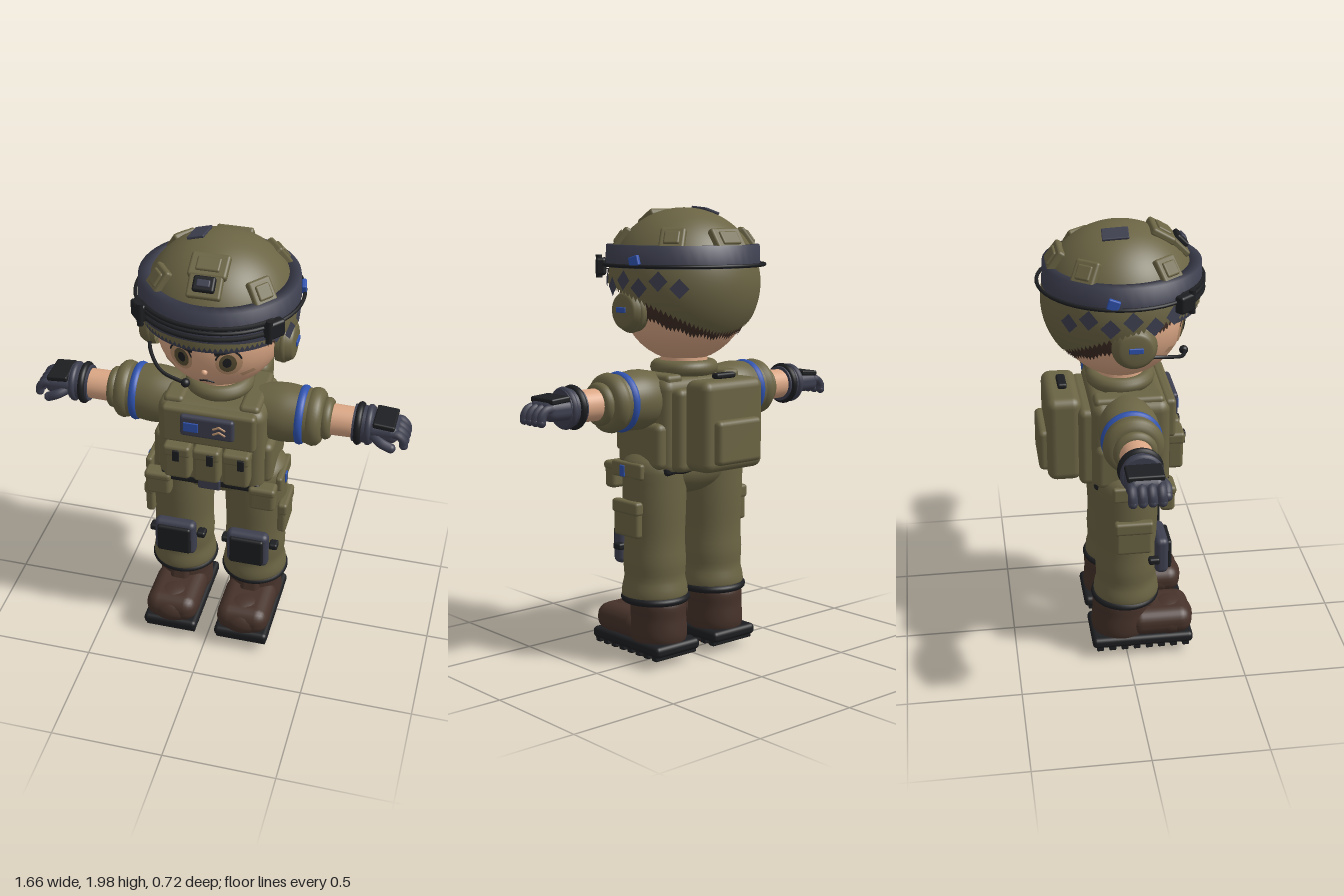
import * as THREE from 'three';
import { RoundedBoxGeometry } from 'three/addons/geometries/RoundedBoxGeometry.js';

const V = (x, y, z) => new THREE.Vector3(x, y, z);
const mat = (name, color, side = THREE.FrontSide) => {
  const m = new THREE.MeshStandardMaterial({ color, side });
  m.name = name;
  return m;
};

export function createModel() {
  const olive = mat('olive cloth', 0x6b6444, THREE.DoubleSide), slate = mat('slate', 0x3d3f4f);
  const black = mat('black', 0x1d1e21), blue = mat('blue', 0x2f53b0), skin = mat('skin', 0xdba785);
  const brown = mat('boot brown', 0x46322a), hairMat = mat('hair', 0x3c2a22, THREE.DoubleSide);
  const tan = mat('tan', 0xb98f6c), iris = mat('eye olive', 0x5a4f34);
  const root = new THREE.Group();
  root.name = 'soldierFigure';

  const add = (parent, name, geo, m, p = [0, 0, 0], r = [0, 0, 0], s = [1, 1, 1]) => {
    const mesh = new THREE.Mesh(geo, m);
    mesh.name = name;
    mesh.position.set(...p);
    mesh.rotation.set(...r);
    mesh.scale.set(...s);
    parent.add(mesh);
    return mesh;
  };
  const group = (name, parent = root) => {
    const g = new THREE.Group();
    g.name = name;
    parent.add(g);
    return g;
  };
  const box = (w, h, d, r = 0.02) => new RoundedBoxGeometry(w, h, d, 3, Math.min(r, w / 2.1, h / 2.1, d / 2.1));
  const ball = (r) => new THREE.SphereGeometry(r, 32, 20);
  const tube = (pts, r) => new THREE.TubeGeometry(new THREE.CatmullRomCurve3(pts), 16, r, 8);
  const lathe = (pts, start = 0, len = Math.PI * 2) =>
    new THREE.LatheGeometry(pts.map(([r, y]) => new THREE.Vector2(r, y)), 48, start, len);
  const smoothLathe = (pts) => lathe(new THREE.SplineCurve(pts.map(([r, y]) => new THREE.Vector2(r, y)))
    .getPoints(24).map((p) => [Math.max(p.x, 0), p.y]));
  const ring = (R, t) => new THREE.TorusGeometry(R, t, 12, 48);
  // Dome whose lower edge height varies with direction (f: +1 front, -1 back)
  const dome = (rx, ry, rz, edge) => {
    const g = new THREE.SphereGeometry(1, 96, 28), p = g.attributes.position, uv = g.attributes.uv;
    for (let i = 0; i < p.count; i++) {
      const a = uv.getX(i) * Math.PI * 2;
      const t = (1 - uv.getY(i)) * Math.acos(edge(Math.sin(a), a) / ry);
      const n = V(-Math.cos(a) * Math.sin(t), Math.cos(t), Math.sin(a) * Math.sin(t));
      p.setXYZ(i, n.x * rx, n.y * ry, n.z * rz);
      g.attributes.normal.setXYZ(i, n.x, n.y, n.z);
    }
    return g;
  };

  // ---- Head and face ----
  const head = group('head');
  const HY = 1.58, HX = 0.27, HH = 0.265, HZ = 0.272;
  add(head, 'face', ball(1), skin, [0, HY, 0], [0, 0, 0], [HX, HH, HZ]);
  const faceZ = (x, y) => HZ * Math.sqrt(Math.max(0, 1 - (x / HX) ** 2 - ((y - HY) / HH) ** 2));
  const decal = (name, geo, m, x, y, off) => {
    const p = geo.attributes.position;
    for (let i = 0; i < p.count; i++) {
      const px = p.getX(i) + x, py = p.getY(i) + y;
      p.setXYZ(i, px, py, faceZ(px, py) + off);
    }
    geo.computeVertexNormals();
    add(head, name, geo, m);
  };
  const disc = (rx, ry) => new THREE.RingGeometry(0, 1, 28, 4).scale(rx, ry, 1);
  for (const s of [-1, 1]) {
    decal('eye', disc(0.052, 0.064), tan, s * 0.1, 1.545, 0.003);
    decal('iris', disc(0.034, 0.045), iris, s * 0.097, 1.545, 0.005);
    decal('pupil', disc(0.017, 0.024), black, s * 0.095, 1.55, 0.007);
    decal('lash', new THREE.RingGeometry(0.88, 1, 24, 2, 0.3, Math.PI - 0.6).scale(0.055, 0.066, 1), black, s * 0.1, 1.545, 0.006);
    decal('brow', new THREE.PlaneGeometry(0.13, 0.016, 10, 2).rotateZ(s * 0.2), black, s * 0.11, 1.606, 0.008);
    decal('cheekPatch', new THREE.PlaneGeometry(0.05, 0.022, 6, 3).rotateZ(s * 0.25), tan, s * 0.165, 1.475, 0.004);
  }
  add(head, 'nose', ball(0.013), skin, [0, 1.49, faceZ(0, 1.49) + 0.005]);
  add(head, 'mouth', tube([[-0.03, 1.418], [0, 1.428], [0.03, 1.418]].map(([x, y]) => V(x, y, faceZ(x, y))), 0.005), black);
  add(head, 'hair', dome(0.281, 0.275, 0.282, (f, a) => -0.055 + 0.11 * f + 0.012 * Math.abs(((a * 5.1) % 2) - 1)), hairMat, [0, HY, 0]);

  // ---- Helmet ----
  const helmet = group('helmet');
  const CY = 1.655, RX = 0.328, RY = 0.322, RZ = 0.335;
  add(helmet, 'shell', dome(RX, RY, RZ, (f) => -0.05 + 0.1 * f - 0.065 * f * f), olive, [0, CY, 0]);
  const bandProfile = [[0.336, 1.725], [0.332, 1.82], [0.28, 1.82], [0.28, 1.725], [0.336, 1.725]];
  add(helmet, 'band', lathe(bandProfile), slate, [0, 0, 0.008]);
  add(helmet, 'goggleLens', lathe([[0.325, 1.63], [0.343, 1.73], [0.315, 1.73], [0.3, 1.63], [0.325, 1.63]], -0.95, 1.9), slate);
  add(helmet, 'strap', ring(0.348, 0.008), black, [0, 1.735, 0], [Math.PI / 2, 0, 0]);
  for (const y of [1.755, 1.705]) {
    add(helmet, 'goggleFrame', lathe([[0.35, y - 0.008], [0.356, y], [0.35, y + 0.008], [0.33, y + 0.008], [0.33, y - 0.008], [0.35, y - 0.008]], -0.9, 1.8), black);
  }
  // Places a fitting flat on the shell, facing outward
  const onShell = (name, dx, dy, dz, lift = 0, roll = 0) => {
    const d = V(dx, dy, dz).normalize(), g = group(name, helmet);
    g.position.set(d.x * (RX + lift), CY + d.y * (RY + lift), d.z * (RZ + lift));
    g.lookAt(g.position.clone().add(d));
    g.rotateZ(roll);
    return g;
  };
  const panel = (dx, dy, dz, w, h) => {
    const g = onShell('helmetPanel', dx, dy, dz);
    add(g, 'panelBase', box(w, h, 0.035, 0.012), olive);
    add(g, 'panelPad', box(w * 0.62, h * 0.58, 0.02, 0.008), olive, [0, 0, 0.016]);
  };
  panel(0, 0.28, 0.165, 0.16, 0.11);
  panel(0, 0.19, -0.27, 0.16, 0.11);
  for (const s of [-1, 1]) {
    panel(s * 0.22, 0.2, 0.17, 0.11, 0.11);
    panel(s * 0.22, 0.2, -0.17, 0.11, 0.11);
    add(helmet, 'goggleClip', box(0.085, 0.075, 0.045, 0.012), black, [s * 0.278, 1.725, 0.228], [0, s * 0.88, 0]);
    add(helmet, 'clipPost', new THREE.CylinderGeometry(0.014, 0.014, 0.1, 14), black, [s * 0.265, 1.725, 0.258]);
    add(helmet, 'strapClip', box(0.02, 0.045, 0.05, 0.006), blue, [s * 0.336, 1.755, -0.07], [0.3, s * 0.2, 0]);
    for (let i = 0; i < 6; i++) {
      const a = s * (1.0 + i * 0.27), g = onShell('camoPatch', Math.sin(a), 0.06 - (i % 2) * 0.09, Math.cos(a), 0.004);
      add(g, 'camoDiamond', new THREE.CircleGeometry(0.042, 4), slate);
    }
    // Ear cups
    const ear = group('earCup');
    const EZ = 0.022, turn = [0, 0, -s * Math.PI / 2];
    add(ear, 'earShell', smoothLathe([[0.09, 0], [0.092, 0.03], [0.08, 0.06], [0.062, 0.075], [0, 0.08]]), olive, [s * 0.255, 1.545, EZ], turn);
    add(ear, 'earRim', ring(0.078, 0.017), olive, [s * 0.285, 1.545, EZ], [0, Math.PI / 2, 0]);
    add(ear, 'earMark', box(0.012, 0.024, 0.06, 0.004), blue, [s * 0.334, 1.55, EZ]);
  }
  const mount = onShell('lampMount', 0, 0.235, 0.235);
  add(mount, 'mountPlate', box(0.14, 0.11, 0.03, 0.01), olive);
  add(mount, 'mountBlock', box(0.09, 0.065, 0.035, 0.01), black, [0, 0, 0.018]);
  add(mount, 'mountFace', box(0.055, 0.03, 0.03, 0.005), slate, [0, 0, 0.028]);
  add(onShell('topPatch', -0.09, 0.3, -0.03, 0.002, 0.25), 'patch', box(0.11, 0.075, 0.012, 0.004), slate);
  // Microphone
  add(head, 'micBoom', tube([V(-0.29, 1.5, 0.05), V(-0.265, 1.485, 0.14), V(-0.19, 1.45, 0.235), V(-0.08, 1.427, 0.265)], 0.008), black);
  add(head, 'micTip', ball(0.019), black, [-0.08, 1.427, 0.262]);

  // ---- Torso and vest ----
  const torso = group('torso');
  add(torso, 'neck', new THREE.CylinderGeometry(0.1, 0.11, 0.12, 28), skin, [0, 1.3, 0]);
  add(torso, 'collar', ring(0.115, 0.034), olive, [0, 1.29, 0], [Math.PI / 2, 0, 0]);
  add(torso, 'vest', box(0.47, 0.42, 0.34, 0.05), olive, [0, 1.05, 0.02]);
  add(torso, 'chestPanel', box(0.41, 0.18, 0.05, 0.018), olive, [0, 1.165, 0.19]);
  add(torso, 'namePlate', box(0.235, 0.105, 0.03, 0.014), slate, [0, 1.185, 0.222]);
  add(torso, 'flagPatch', box(0.065, 0.045, 0.009, 0.003), blue, [-0.068, 1.185, 0.238]);
  for (const y of [1.172, 1.198]) for (const s of [-1, 1]) {
    add(torso, 'chevron', box(0.034, 0.009, 0.008, 0.003), tan, [0.055 + s * 0.013, y, 0.238], [0, 0, -s * 0.5]);
  }
  [-0.13, 0, 0.13].forEach((x, i) => {
    add(torso, 'pouch', box(0.115, 0.17, 0.075, 0.018), olive, [x, 0.995, 0.215]);
    add(torso, 'pouchFlap', box(0.12, 0.055, 0.08, 0.016), olive, [x, 1.055, 0.219]);
    add(torso, 'pouchTab', box(0.03, 0.055, 0.012, 0.004), black, [x + [0, 0.02, 0.025][i], 1.04, 0.261]);
  });
  add(torso, 'belt', box(0.45, 0.05, 0.33, 0.02), black, [0, 0.865, 0.025]);
  add(torso, 'buckle', box(0.1, 0.055, 0.025, 0.008), slate, [0, 0.865, 0.193]);
  for (const s of [-1, 1]) {
    add(torso, 'shoulderStrap', box(0.09, 0.05, 0.3, 0.02), olive, [s * 0.165, 1.25, 0.015]);
    add(torso, 'sidePouch', box(0.08, 0.2, 0.28, 0.03), olive, [s * 0.225, 0.97, 0.005]);
    add(torso, 'hipPouch', box(0.115, 0.11, 0.065, 0.02), olive, [s * 0.235, 0.815, 0.17]);
    add(torso, 'hipPouchFlap', box(0.12, 0.04, 0.075, 0.016), olive, [s * 0.235, 0.86, 0.17]);
    add(torso, 'hipStrap', box(0.03, 0.07, 0.2, 0.012), olive, [s * 0.295, 0.86, 0.03]);
    add(torso, 'hipTag', box(0.012, 0.05, 0.03, 0.004), blue, [s * 0.31, 0.855, 0.05]);
  }

  // ---- Backpack ----
  const pack = group('backpack');
  add(pack, 'backPanel', box(0.4, 0.36, 0.08, 0.03), olive, [0, 1.04, -0.16]);
  add(pack, 'packBody', box(0.34, 0.39, 0.15, 0.04), olive, [0, 1.065, -0.258]);
  add(pack, 'packPocket', box(0.25, 0.19, 0.06, 0.022), olive, [0, 1.0, -0.337]);
  add(pack, 'packHandle', box(0.11, 0.025, 0.04, 0.01), black, [0, 1.272, -0.255]);

  // ---- Arms ----
  for (const s of [-1, 1]) {
    const arm = group(s > 0 ? 'leftArm' : 'rightArm');
    const AY = 1.165, turn = [0, 0, -s * Math.PI / 2], side = [0, Math.PI / 2, 0];
    add(arm, 'sleeve', smoothLathe([[0.09, 0.1], [0.115, 0.19], [0.128, 0.28], [0.12, 0.37], [0.115, 0.43], [0.07, 0.47]]), olive, [0, AY, 0], turn);
    add(arm, 'armBand', ring(0.108, 0.022), blue, [s * 0.365, AY, 0], side);
    add(arm, 'sleeveRoll', ring(0.088, 0.04), olive, [s * 0.42, AY, 0], side);
    add(arm, 'sleeveCuff', ring(0.068, 0.024), olive, [s * 0.473, AY, 0], side);
    add(arm, 'forearm', new THREE.CylinderGeometry(0.066, 0.07, 0.22, 32), skin, [s * 0.51, AY, 0], turn);
    add(arm, 'gloveCuff', new THREE.CylinderGeometry(0.08, 0.08, 0.085, 32), slate, [s * 0.63, AY, 0], turn);
    add(arm, 'cuffRing', ring(0.078, 0.016), black, [s * 0.612, AY, 0], side);
    add(arm, 'cuffEdge', ring(0.074, 0.015), slate, [s * 0.655, AY, 0], side);
    add(arm, 'palm', box(0.14, 0.085, 0.155, 0.035), slate, [s * 0.715, 1.165, 0]);
    add(arm, 'handPlate', box(0.095, 0.025, 0.15, 0.008), black, [s * 0.722, 1.209, 0], [0, 0, -s * 0.08]);
    for (let i = 0; i < 4; i++) {
      const z = -0.058 + i * 0.039;
      add(arm, 'finger', tube([V(s * 0.75, 1.175, z), V(s * 0.785, 1.173, z), V(s * 0.807, 1.15, z), V(s * 0.811, 1.125, z)], 0.019), slate);
      add(arm, 'fingertip', ball(0.019), slate, [s * 0.811, 1.125, z]);
    }
    add(arm, 'thumb', tube([V(s * 0.68, 1.155, 0.06), V(s * 0.72, 1.14, 0.088), V(s * 0.76, 1.12, 0.085)], 0.021), slate);
    add(arm, 'thumbTip', ball(0.021), slate, [s * 0.76, 1.12, 0.085]);
  }

  // ---- Legs and boots ----
  add(root, 'pelvis', ball(1), olive, [0, 0.855, 0.005], [0, 0, 0], [0.27, 0.125, 0.15]);
  for (const s of [-1, 1]) {
    const leg = group(s > 0 ? 'leftLeg' : 'rightLeg');
    leg.position.x = s * 0.168;
    add(leg, 'trouser', smoothLathe([[0.1, 0.27], [0.142, 0.29], [0.144, 0.33], [0.134, 0.38], [0.138, 0.45], [0.133, 0.55], [0.138, 0.68], [0.14, 0.8], [0.136, 0.89], [0.08, 0.94]]), olive, [0, 0, 0.005]);
    add(leg, 'ankleRing', ring(0.136, 0.017), black, [0, 0.285, 0], [Math.PI / 2, 0, 0]);
    add(leg, 'cargoPocket', box(0.04, 0.16, 0.16, 0.015), olive, [s * 0.137, 0.65, 0.02]);
    add(leg, 'cargoFlap', box(0.045, 0.06, 0.17, 0.014), olive, [s * 0.14, 0.7, 0.02]);
    add(leg, 'kneePad', box(0.19, 0.175, 0.06, 0.025), slate, [0, 0.505, 0.155]);
    add(leg, 'kneePlate', box(0.155, 0.14, 0.025, 0.012), black, [0, 0.505, 0.188]);
    for (const e of [-1, 1]) add(leg, 'kneeStrap', box(0.04, 0.03, 0.05, 0.01), black, [e * 0.11, 0.505, 0.115]);
    add(leg, 'bootShaft', smoothLathe([[0.11, 0.07], [0.126, 0.12], [0.122, 0.2], [0.115, 0.28], [0.05, 0.3]]), brown, [0, 0, -0.018], [0, 0, 0], [0.97, 1, 1.06]);
    add(leg, 'bootToe', box(0.24, 0.13, 0.29, 0.06), brown, [0, 0.15, 0.155]);
    add(leg, 'toeCap', ball(1), brown, [0, 0.14, 0.2], [0, 0, 0], [0.122, 0.082, 0.112]);
    add(leg, 'bootTongue', box(0.09, 0.13, 0.06, 0.025), brown, [0, 0.22, 0.098], [-0.25, 0, 0]);
    add(leg, 'heelBase', ball(1), brown, [0, 0.06, 0], [0, 0, 0], [0.1, 0.06, 0.09]);
    add(leg, 'sole', box(0.25, 0.05, 0.46, 0.02), black, [0, 0.077, 0.07]);
    for (let i = 0; i < 8; i++) add(leg, 'tread', box(0.235, 0.03, 0.032, 0.006), black, [0, 0.05, -0.125 + i * 0.056]);
  }
  return root;
}
